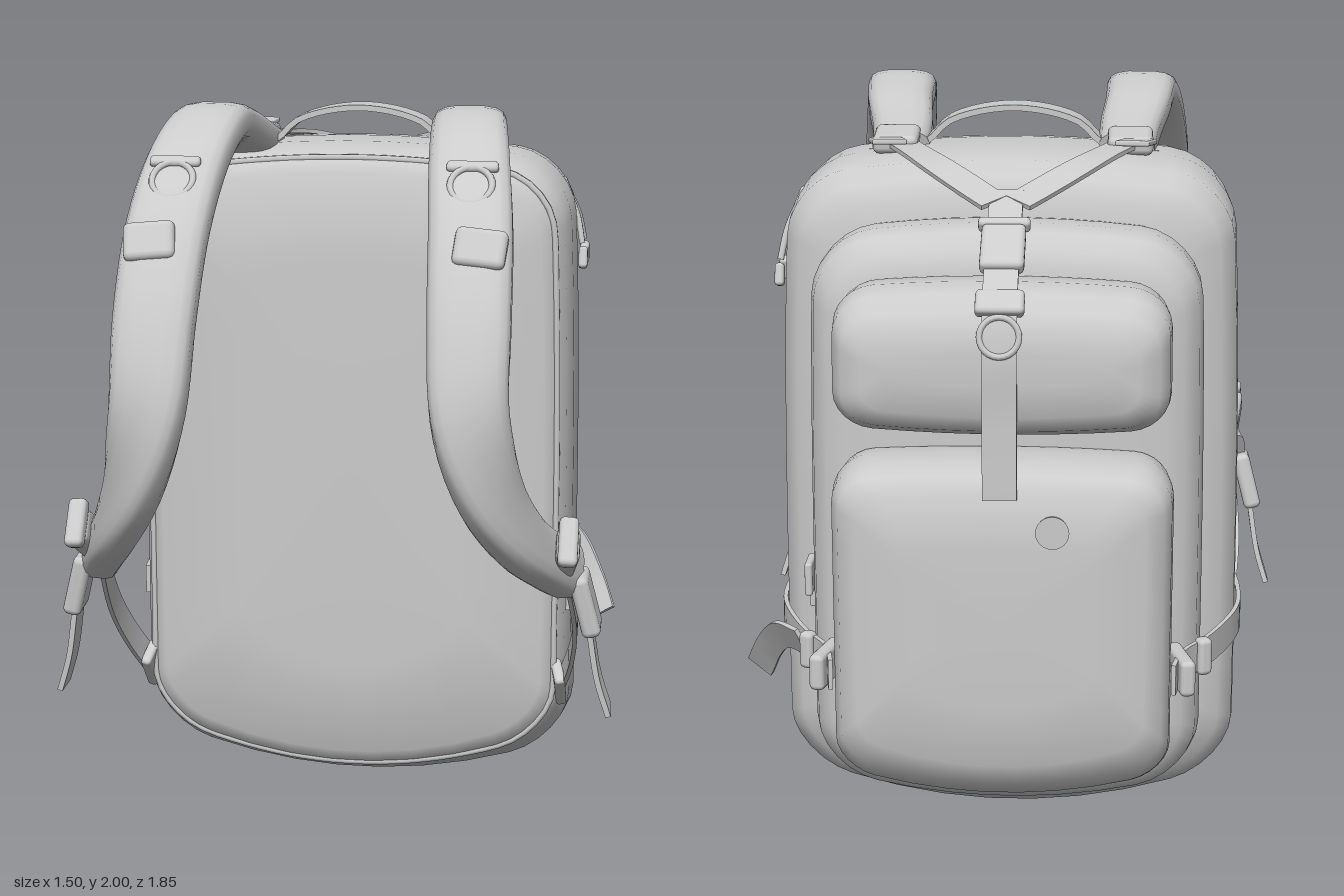
import * as THREE from 'three';
import { toCreasedNormals } from 'three/addons/utils/BufferGeometryUtils.js';
import { RoundedBoxGeometry } from 'three/addons/geometries/RoundedBoxGeometry.js';

const material = new THREE.MeshStandardMaterial({ color: 0xcccccc, roughness: 0.8 });
const V = (x, y, z) => new THREE.Vector3(x, y, z);

function add(parent, name, geometry, pos = [0, 0, 0], rot = [0, 0, 0]) {
  const mesh = new THREE.Mesh(geometry, material);
  mesh.name = name;
  mesh.position.set(...pos);
  mesh.rotation.set(...rot);
  parent.add(mesh);
  return mesh;
}

function box(parent, name, size, pos, rot) {
  const r = Math.min(...size) * 0.35;
  return add(parent, name, new RoundedBoxGeometry(...size, 2, r), pos, rot);
}

// Closed skin over rings of equal point count, each counter-clockwise about the travel direction
function skin(rings, crease) {
  const n = rings[0].length, pos = [], idx = [];
  rings.forEach(r => r.forEach(p => pos.push(p.x, p.y, p.z)));
  for (let i = 0; i < rings.length - 1; i++) {
    for (let j = 0; j < n; j++) {
      const a = i * n + j, b = i * n + (j + 1) % n;
      idx.push(a, b, b + n, a, b + n, a + n);
    }
  }
  [0, rings.length - 1].forEach((ri, end) => {
    const c = rings[ri].reduce((s, p) => s.add(p), V(0, 0, 0)).divideScalar(n);
    const ci = pos.length / 3;
    pos.push(c.x, c.y, c.z);
    for (let j = 0; j < n; j++) {
      const a = ri * n + j, b = ri * n + (j + 1) % n;
      end ? idx.push(ci, a, b) : idx.push(ci, b, a);
    }
  });
  const g = new THREE.BufferGeometry();
  g.setAttribute('position', new THREE.Float32BufferAttribute(pos, 3));
  g.setIndex(idx);
  return toCreasedNormals(g, crease);
}

// Rounded outline with sagging bottom, crowned top and a slight taper upwards
function outline(s, z, ix, ib, it) {
  const w = s.w - ix, y0 = s.y0 + ib, y1 = s.y1 - it;
  const r = Math.max(s.r - Math.min(ix, ib, it) * 0.6, 0.04);
  const corners = [[w - r, y0 + r], [w - r, y1 - r], [-w + r, y1 - r], [-w + r, y0 + r]];
  const raw = [];
  corners.forEach(([cx, cy], k) => {
    for (let i = 0; i <= 6; i++) {
      const a = (k - 1 + i / 6) * Math.PI / 2;
      raw.push([cx + r * Math.cos(a), cy + r * Math.sin(a)]);
    }
    const [nx, ny] = corners[(k + 1) % 4], e = k * Math.PI / 2;
    const [px, py] = raw[raw.length - 1];
    const qx = nx + r * Math.cos(e), qy = ny + r * Math.sin(e);
    for (let i = 1; i < 7; i++) raw.push([px + (qx - px) * i / 7, py + (qy - py) * i / 7]);
  });
  return raw.map(([x, y]) => {
    const v = (y - y0) / (y1 - y0), f = (x / w) ** 2;
    return V(x * (1 - s.taper * v ** 4), y + s.sag * f * (1 - v) ** 3 - s.crown * f * v ** 3, z);
  });
}

// Padded compartment: rings are [z, side inset, bottom inset, top inset], back to front
function pillow(parent, name, s, rings) {
  return add(parent, name, skin(rings.map(([z, a, b = a, c = a]) => outline(s, z, a, b, c)), 0.9));
}

// Sweep a flat (square) or padded (rounded) band; side(u) gives its width direction
function band(parent, name, pts, side, width, thick, padded = false, steps = 24) {
  const curve = new THREE.CatmullRomCurve3(pts.map(p => V(...p)));
  const n = padded ? 16 : 4, rings = [];
  for (let i = 0; i <= steps; i++) {
    const u = i / steps, c = curve.getPointAt(u), t = curve.getTangentAt(u);
    const s = V(...side(u));
    s.addScaledVector(t, -s.dot(t)).normalize();
    const nrm = t.clone().cross(s);
    const w = (typeof width === 'function' ? width(u) : width) / 2, h = thick / 2;
    const ring = [];
    for (let j = 0; j < n; j++) {
      const a = (j + 0.5) / n * Math.PI * 2, e = padded ? 0.6 : 0.001;
      const f = q => Math.sign(q) * Math.abs(q) ** e;
      ring.push(c.clone().addScaledVector(s, w * f(Math.cos(a))).addScaledVector(nrm, h * f(Math.sin(a))));
    }
    rings.push(ring);
  }
  return add(parent, name, skin(rings, padded ? 1.1 : 0.7));
}

function compartments(pack) {
  const main = { w: 0.615, y0: 0.0, y1: 1.865, r: 0.17, sag: 0.13, crown: 0.05, taper: 0.05 };
  pillow(pack, 'mainCompartment', main, [
    [-0.45, 0.2, 0.25, 0.2], [-0.44, 0.12, 0.17, 0.1], [-0.41, 0.05, 0.1, 0.05], [-0.36, 0.01, 0.06, 0.015],
    [-0.2, 0, 0, 0], [-0.05, 0.005, 0.03, 0], [0.04, 0.02, 0.08, 0.01], [0.09, 0.05, 0.1, 0.03],
    [0.115, 0.08, 0.14, 0.07], [0.125, 0.3, 0.4, 0.3]]);
  const edge = new THREE.CatmullRomCurve3(outline(main, 0.085, 0.045, 0.1, 0.03), true);
  add(pack, 'backPanelPiping', new THREE.TubeGeometry(edge, 120, 0.01, 6, true));
  pillow(pack, 'middleCompartment', { w: 0.51, y0: 0.165, y1: 1.72, r: 0.16, sag: 0.08, crown: 0.04, taper: 0.03 }, [
    [-0.665, 0.2], [-0.66, 0.1], [-0.64, 0.05], [-0.6, 0.012], [-0.54, 0], [-0.47, 0], [-0.4, 0.01]]);
  pillow(pack, 'upperPocket', { w: 0.42, y0: 1.235, y1: 1.615, r: 0.1, sag: 0.02, crown: 0.02, taper: 0.01 }, [
    [-0.905, 0.15], [-0.9, 0.08, 0.07, 0.1], [-0.875, 0.03, 0.03, 0.05], [-0.83, 0.005, 0.01, 0.015],
    [-0.76, 0], [-0.67, 0.005], [-0.62, 0.02]]);
  pillow(pack, 'lowerPocket', { w: 0.43, y0: 0.25, y1: 1.175, r: 0.1, sag: 0.07, crown: 0.015, taper: 0 }, [
    [-0.91, 0.2, 0.3, 0.2], [-0.9, 0.07, 0.14, 0.06], [-0.87, 0.025, 0.08, 0.025], [-0.82, 0.005, 0.035, 0.005],
    [-0.74, 0], [-0.67, 0.005], [-0.62, 0.02]]);
  add(pack, 'pocketButton', new THREE.CylinderGeometry(0.038, 0.042, 0.02, 24), [-0.13, 1.02, -0.91], [Math.PI / 2, 0, 0]);
}

// Shoulder strap with its fittings, for one side
function shoulderStrap(pack, s) {
  const g = new THREE.Group();
  g.name = s > 0 ? 'leftShoulderStrap' : 'rightShoulderStrap';
  pack.add(g);
  const m = pts => pts.map(([x, y, z]) => [x * s, y, z]);
  const twist = u => {
    const k = THREE.MathUtils.smoothstep(u, 0.5, 0.95);
    return [s * (1 - k), 0.8 * k, -0.5 * k];
  };
  band(g, 'strapPad', m([[0.3, 1.84, -0.15], [0.31, 1.88, 0], [0.33, 1.925, 0.15], [0.34, 1.945, 0.32],
    [0.36, 1.87, 0.52], [0.38, 1.72, 0.68], [0.39, 1.52, 0.8], [0.4, 1.3, 0.86], [0.45, 1.1, 0.82],
    [0.52, 0.96, 0.72], [0.59, 0.86, 0.57], [0.62, 0.82, 0.49]]), twist,
    u => 0.15 + 0.06 * Math.sin(Math.PI * Math.min(1, u * 1.1)), 0.105, true, 48);
  // Upper adjuster and tab
  box(g, 'loadAdjuster', [0.12, 0.05, 0.13], [0.31 * s, 1.875, -0.18], [-0.15, 0, 0]);
  box(g, 'loadTab', [0.09, 0.015, 0.12], [0.325 * s, 1.885, -0.28], [0.1, s * 0.2, 0]);
  band(g, 'loadWebbing', m([[0.3, 1.87, -0.2], [0.21, 1.85, -0.37], [0.03, 1.775, -0.57]]), () => [s, 0, 0], 0.08, 0.012);
  // Ring and slider on the front of the pad
  add(g, 'strapRing', new THREE.TorusGeometry(0.052, 0.009, 8, 24), [0.375 * s, 1.84, 0.635], [-0.7, 0, 0]);
  box(g, 'ringLoop', [0.13, 0.03, 0.04], [0.375 * s, 1.875, 0.59], [-0.75, 0, 0]);
  box(g, 'strapSlider', [0.13, 0.1, 0.05], [0.41 * s, 1.7, 0.75], [-0.5, 0, -s * 0.1]);
  // Lower buckle, webbing to the pack and hanging tail
  box(g, 'lowerBuckle', [0.06, 0.1, 0.17], [0.625 * s, 0.9, 0.61], [-0.6, s * 0.15, 0]);
  box(g, 'buckleBar', [0.05, 0.13, 0.04], [0.635 * s, 0.95, 0.68], [-0.6, s * 0.15, 0]);
  box(g, 'ladderLock', [0.05, 0.17, 0.11], [0.675 * s, 0.74, 0.505], [0.1, 0, s * 0.25]);
  band(g, 'hangingTail', m([[0.67, 0.78, 0.5], [0.69, 0.65, 0.49], [0.71, 0.53, 0.48], [0.74, 0.43, 0.47]]), () => [0, 0, 1], 0.08, 0.015);
  band(g, 'lowerWebbing', m([[0.62, 0.85, 0.5], [0.64, 0.62, 0.29], [0.625, 0.48, 0.16], [0.59, 0.35, 0.04]]), () => [0, 0.7, -0.7], 0.08, 0.012);
  box(g, 'webbingPatch', [0.03, 0.14, 0.08], [0.585 * s, 0.36, 0.06], [0.75, s * 0.25, 0]);
}

// Side compression strap
function compressionStrap(pack, s) {
  const m = pts => pts.map(([x, y, z]) => [x * s, y, z]);
  band(pack, 'compressionStrap', m([[0.605, 0.6, 0.02], [0.622, 0.6, -0.18], [0.61, 0.605, -0.38], [0.53, 0.605, -0.6],
    [0.46, 0.605, -0.72], [0.435, 0.605, -0.83]]), () => [0, 1, 0], 0.08, 0.012);
  box(pack, 'compressionBuckle', [0.04, 0.095, 0.16], [0.455 * s, 0.605, -0.75], [0, -s * 0.25, 0]);
  box(pack, 'compressionSlider', [0.04, 0.1, 0.04], [0.515 * s, 0.605, -0.65], [0, -s * 0.5, 0]);
}

export function createModel() {
  const pack = new THREE.Group();
  pack.name = 'backpack';
  compartments(pack);
  for (const s of [1, -1]) {
    shoulderStrap(pack, s);
    compressionStrap(pack, s);
    box(pack, 'handleAnchor', [0.1, 0.025, 0.11], [0.5 * s, 1.775, -0.1], [0, 0, -s * 0.7]);
  }
  band(pack, 'looseStrapEnd', [[0.53, 0.62, -0.64], [0.6, 0.6, -0.53], [0.65, 0.53, -0.43], [0.69, 0.44, -0.35]],
    () => [0.2, 0.9, -0.4], 0.08, 0.012);

  // Carry handle over the top
  band(pack, 'carryHandle', [[-0.53, 1.74, -0.1], [-0.42, 1.825, -0.1], [-0.24, 1.86, -0.1], [-0.17, 1.92, -0.1], [0, 1.955, -0.1],
    [0.17, 1.92, -0.1], [0.24, 1.86, -0.1], [0.42, 1.825, -0.1], [0.53, 1.74, -0.1]], () => [0, 0, 1], 0.1, 0.016, false, 40);

  // Centre strap down over the pockets
  band(pack, 'centreStrap', [[0, 1.795, -0.52], [0, 1.74, -0.63], [0, 1.67, -0.76], [0, 1.585, -0.88], [0, 1.48, -0.912],
    [0, 1.3, -0.908], [0, 1.1, -0.908]], () => [1, 0, 0], 0.085, 0.014, false, 32);
  box(pack, 'centreBuckle', [0.11, 0.04, 0.16], [0, 1.69, -0.73], [-0.5, 0, 0]);
  box(pack, 'centreBuckleBar', [0.13, 0.035, 0.03], [0, 1.735, -0.65], [-0.5, 0, 0]);
  box(pack, 'centreAdjuster', [0.12, 0.035, 0.07], [0, 1.585, -0.875], [-0.7, 0, 0]);
  add(pack, 'centreRing', new THREE.TorusGeometry(0.048, 0.008, 8, 24), [0, 1.51, -0.912], [0.2, 0, 0]);

  // Zip pulls and a small tag on one side
  for (const [z, y] of [[-0.2, 1.53], [-0.3, 1.53]]) {
    const cord = new THREE.CatmullRomCurve3([V(0.555, 1.74, -0.225), V(0.595, 1.65, (z - 0.24) / 2), V(0.612, y + 0.04, z)]);
    add(pack, 'zipCord', new THREE.TubeGeometry(cord, 10, 0.009, 6));
    box(pack, 'zipPull', [0.025, 0.06, 0.035], [0.615, y, z], [z < -0.25 ? 0.3 : -0.3, 0, 0]);
  }
  box(pack, 'zipSlider', [0.03, 0.07, 0.035], [0.56, 1.72, -0.225], [0, 0, 0.4]);
  box(pack, 'sideTag', [0.02, 0.09, 0.1], [0.525, 0.76, -0.5]);
  box(pack, 'sideTagStem', [0.015, 0.06, 0.03], [0.52, 0.7, -0.49]);
  return pack;
}
